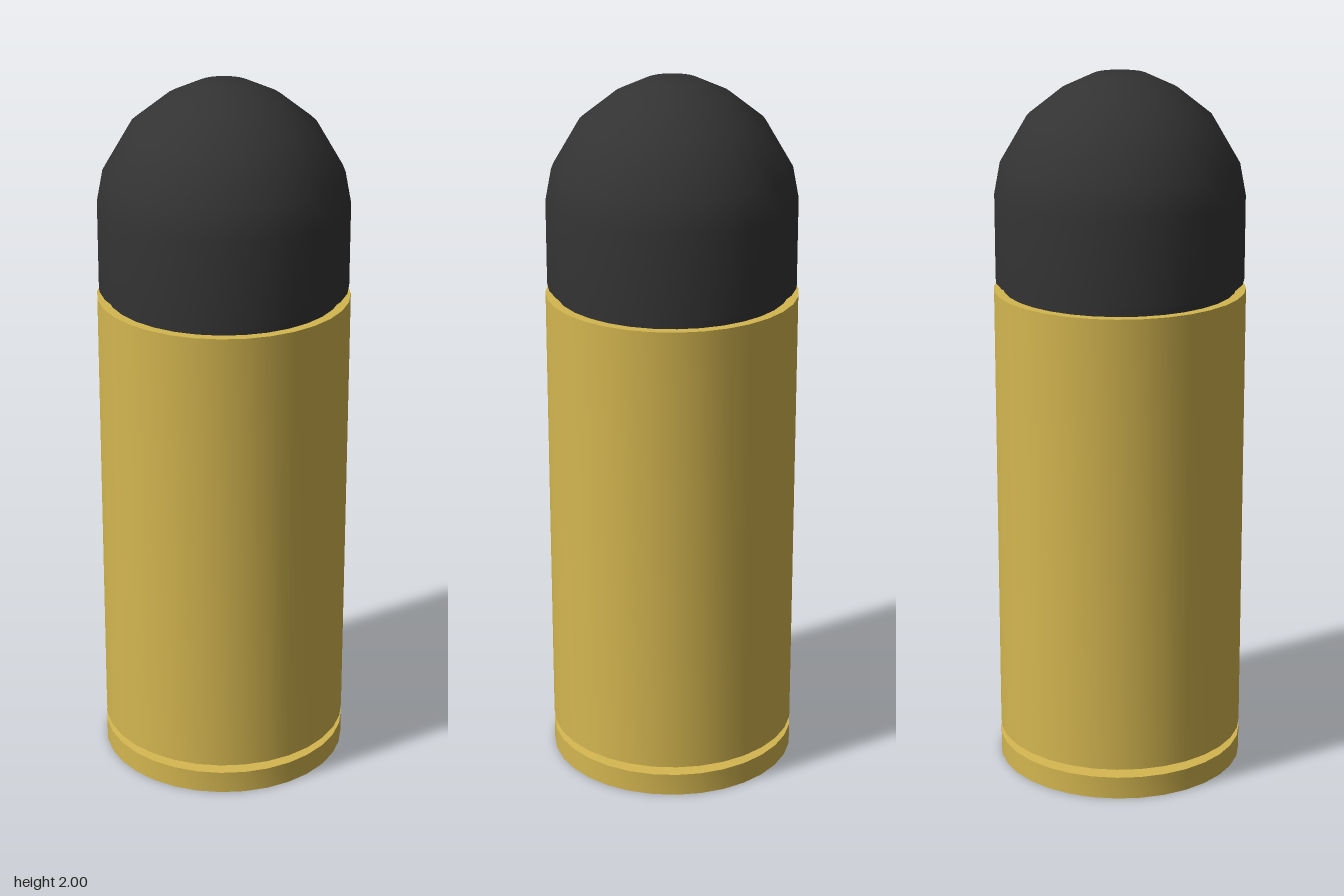
import * as THREE from 'three';
import { toCreasedNormals } from 'three/addons/utils/BufferGeometryUtils.js';

const SIDES = 32;

// Turned solid from a [radius, height] profile, listed bottom to top
function turned(name, profile, material) {
  const points = profile.map(([r, y]) => new THREE.Vector2(r, y));
  const geometry = toCreasedNormals(new THREE.LatheGeometry(points, SIDES), 0.7);
  const mesh = new THREE.Mesh(geometry, material);
  mesh.name = name;
  return mesh;
}

export function createModel() {
  const group = new THREE.Group();
  group.name = 'cartridge';
  const brass = new THREE.MeshStandardMaterial({ color: 0xd4b650 });
  const dark = new THREE.MeshStandardMaterial({ color: 0x333333 });

  // Casing: base rim, extractor groove, straight wall and mouth
  group.add(turned('casing', [
    [0, 0], [0.352, 0], [0.352, 0.065],
    [0.24, 0.07], [0.24, 0.086],
    [0.352, 0.09], [0.352, 1.405], [0, 1.405],
  ], brass));

  // Narrow neck seated in the casing mouth
  group.add(turned('bulletNeck', [
    [0.325, 1.4], [0.325, 1.432],
  ], dark));

  // Rounded bullet with a small flat tip
  group.add(turned('bullet', [
    [0, 1.43], [0.347, 1.43], [0.347, 1.668], [0.33, 1.757],
    [0.255, 1.885], [0.16, 1.96], [0.074, 2], [0, 2],
  ], dark));

  return group;
}
